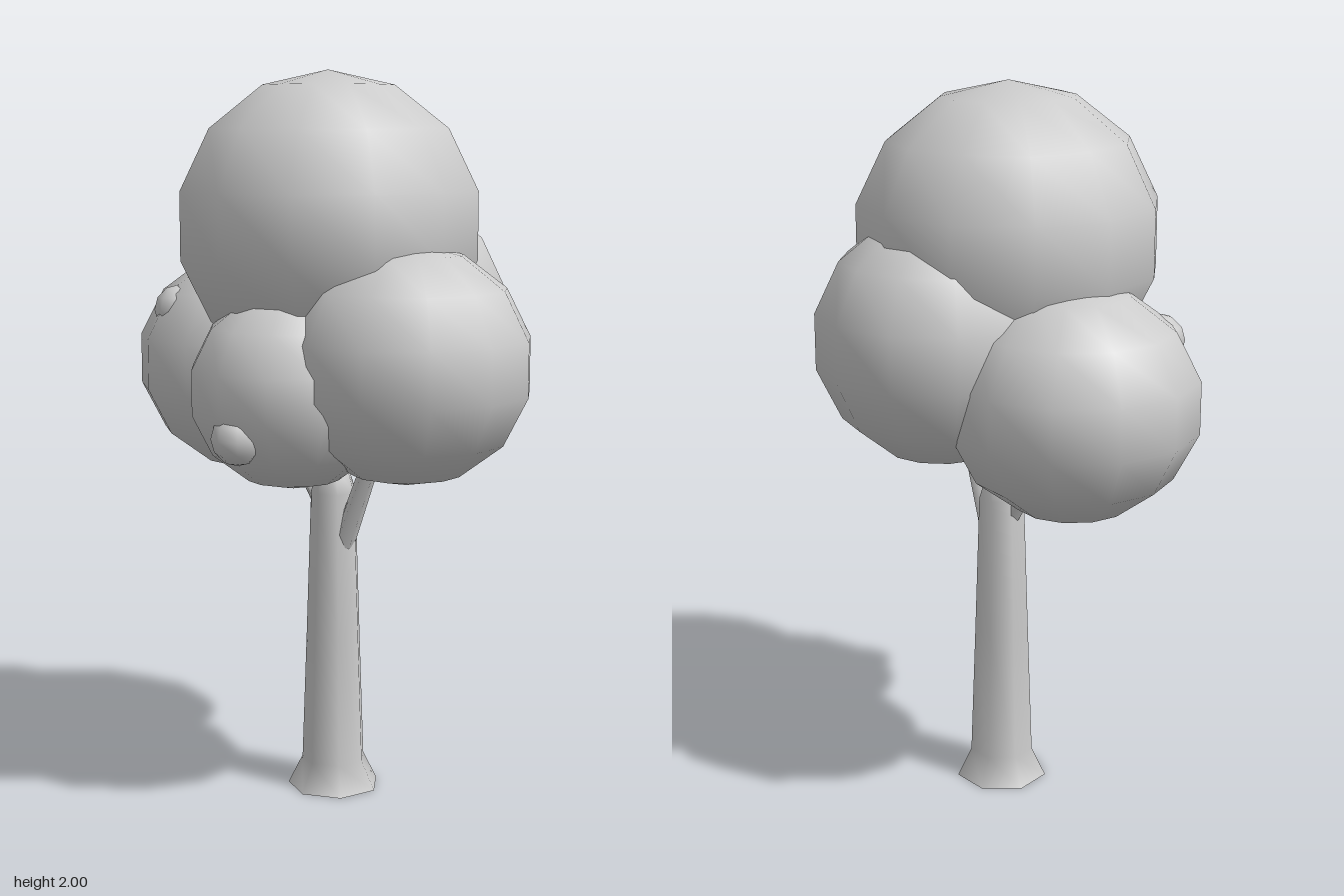
import * as THREE from 'three';

export function createModel() {
  const tree = new THREE.Group();
  tree.name = 'tree';

  const plainGrey = new THREE.MeshStandardMaterial({ color: 0xcccccc });
  plainGrey.name = 'plain grey';

  function add(name, geometry, position = [0, 0, 0]) {
    const mesh = new THREE.Mesh(geometry, plainGrey);
    mesh.name = name;
    mesh.position.set(...position);
    tree.add(mesh);
    return mesh;
  }

  // Trunk: seven-sided, flared foot, rounded top
  const profile = [[0.13, 0], [0.09, 0.08], [0.077, 0.45], [0.064, 0.85], [0.042, 0.92], [0, 0.95]]
    .map(([r, y]) => new THREE.Vector2(r, y));
  add('trunk', new THREE.LatheGeometry(profile, 7), [0, 0, 0.012]);
  const foot = new THREE.CircleGeometry(0.13, 7, Math.PI / 2).rotateX(Math.PI / 2);
  add('trunkBottom', foot, [0, 0, 0.012]);

  // Branches: thin tapered struts running into the foliage
  function addBranch(name, from, to, r0, r1) {
    const a = new THREE.Vector3(...from);
    const b = new THREE.Vector3(...to);
    const mesh = add(name, new THREE.CylinderGeometry(r1, r0, a.distanceTo(b), 5));
    mesh.position.copy(a).add(b).multiplyScalar(0.5);
    mesh.quaternion.setFromUnitVectors(new THREE.Vector3(0, 1, 0), b.sub(a).normalize());
  }
  addBranch('leftBranch', [0.04, 0.71, 0.015], [0.19, 1.02, 0.04], 0.032, 0.024);
  addBranch('rightBranch', [-0.035, 0.8, 0.015], [-0.18, 1.0, 0.02], 0.026, 0.02);

  // Foliage: low-poly smooth balls [name, centre, radius, height radius, turn]
  const foliage = [
    ['crown', [0, 1.59, 0.035], 0.42, 0.41, 0],
    ['rightFoliage', [-0.305, 1.195, 0.005], 0.343, 0.317, 0.17],
    ['leftFoliage', [0.305, 1.235, 0.06], 0.339, 0.32, -0.16],
    ['backFoliage', [0.02, 1.335, -0.18], 0.344, 0.342, 0],
    ['frontFoliage', [0.055, 1.165, 0.23], 0.282, 0.268, 0],
  ];
  for (const [name, centre, r, ry, turn] of foliage) {
    const ball = add(name, new THREE.SphereGeometry(r, 12, 7), centre);
    ball.scale.y = ry / r;
    ball.rotation.y = turn;
  }

  // Fruit: one hanging out at the front, one almost buried
  add('frontFruit', new THREE.SphereGeometry(0.07, 8, 6), [0.07, 1.06, 0.45]);
  add('buriedFruit', new THREE.SphereGeometry(0.07, 8, 6), [-0.395, 1.345, 0.222]);

  return tree;
}
